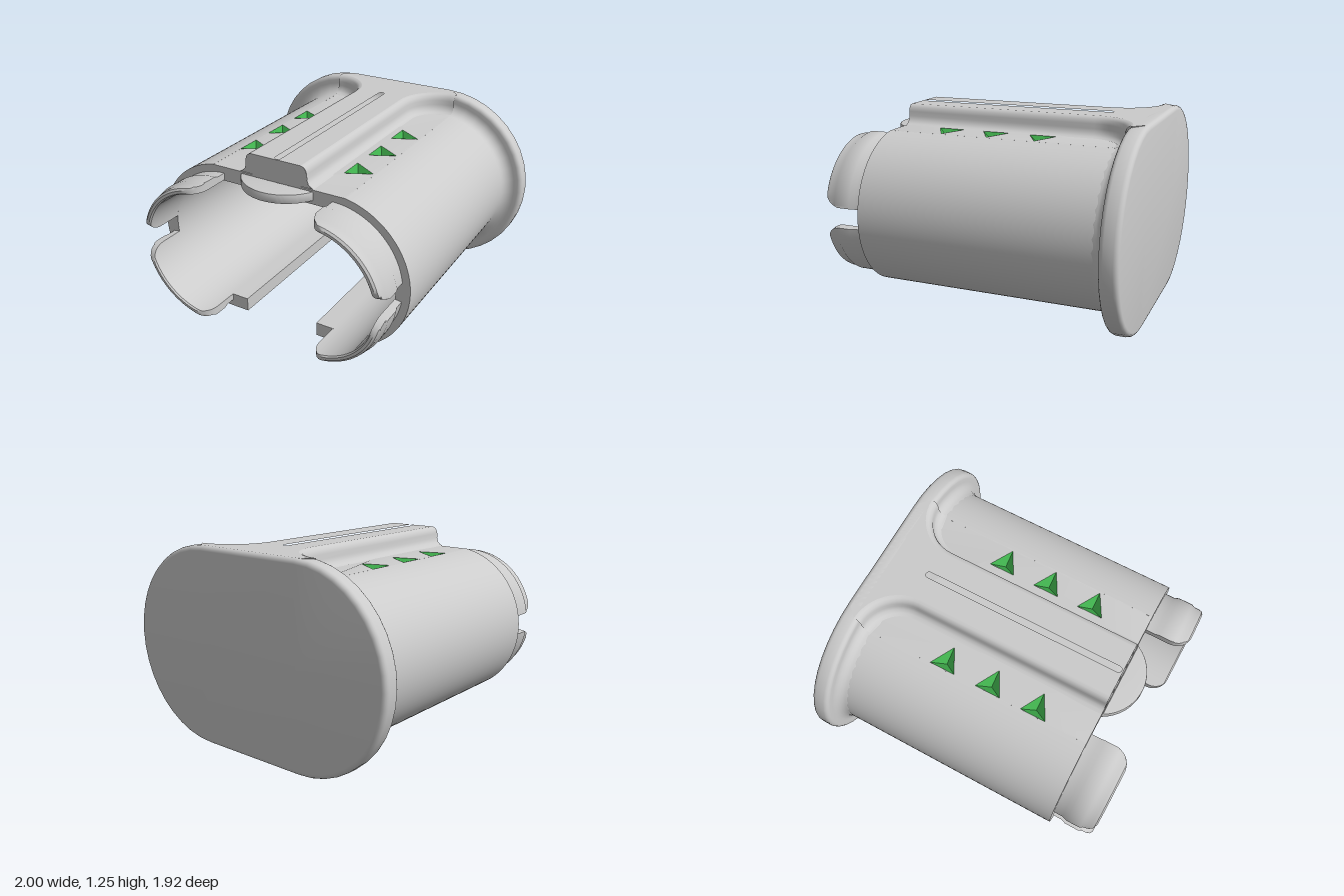
import * as THREE from 'three';
import { toCreasedNormals } from 'three/addons/utils/BufferGeometryUtils.js';

const CX = 0.375, CY = 0.625;            // arc centres of the rounded oval
const R_BODY = 0.5, R_IN = 0.41;         // outer and inner wall radius
const Z_FRONT = 0.69, Z_FLOOR = -0.845;

const grey = new THREE.MeshStandardMaterial({ color: 0xcccccc });
const green = new THREE.MeshStandardMaterial({ color: 0x3fae4c, side: THREE.DoubleSide });

// Skin a list of cross-sections; optional closed loop and end caps
function loft(rings, closed = false, caps = false) {
  const n = rings[0].length, m = rings.length, idx = [];
  for (let i = 0; i < m - 1; i++)
    for (let j = 0; j < (closed ? n : n - 1); j++) {
      const k = (j + 1) % n, a = i * n + j, b = a + n, c = (i + 1) * n + k, d = i * n + k;
      idx.push(a, b, d, b, c, d);
    }
  if (caps)
    for (let j = 1; j < n - 1; j++) {
      const e = (m - 1) * n;
      idx.push(0, j, j + 1, e, e + j + 1, e + j);
    }
  const g = new THREE.BufferGeometry();
  g.setAttribute('position', new THREE.Float32BufferAttribute(rings.flat(2), 3));
  g.setIndex(idx);
  return g;
}

// Mirrored copy across x = 0 or the mid-height, keeping faces outward
function mirror(geo, axis) {
  const g = geo.index ? geo.toNonIndexed() : geo.clone();
  const p = g.attributes.position, v = [new THREE.Vector3(), new THREE.Vector3(), new THREE.Vector3()];
  for (let i = 0; i < p.count; i += 3) {
    v.forEach((q, k) => {
      q.fromBufferAttribute(p, i + k);
      if (axis === 'x') q.x = -q.x; else q.y = 2 * CY - q.y;
    });
    [0, 2, 1].forEach((s, k) => p.setXYZ(i + k, v[s].x, v[s].y, v[s].z));
  }
  return g;
}

// Horizontal slab from an (x, z) outline, extruded downward from yTop
const slab = (shape, yTop, depth) =>
  new THREE.ExtrudeGeometry(shape, { depth, bevelEnabled: false, curveSegments: 10 })
    .rotateX(Math.PI / 2).translate(0, yTop, 0);

const poly = pts => new THREE.Shape(pts.map(p => new THREE.Vector2(p[0], p[1])));

// Oval outline of radius r at depth z
function oval(r, z, seg = 20) {
  const pts = [];
  for (const side of [0, 1])
    for (let i = 0; i <= seg; i++) {
      const a = -Math.PI / 2 + Math.PI * (side + i / seg);
      pts.push([(side ? -CX : CX) + r * Math.cos(a), CY + r * Math.sin(a), z]);
    }
  return pts;
}

// How far the outer wall falls away beyond the flat top
const drop = x => {
  const d = Math.max(0, Math.abs(x) - CX);
  return R_BODY - Math.sqrt(R_BODY * R_BODY - d * d);
};

function slotHole() {
  const h = new THREE.Path(), w = 0.02;
  h.moveTo(-w, -0.62);
  h.lineTo(-w, 0.66);
  h.absarc(0, 0.66, w, Math.PI, 0, true);
  h.lineTo(w, -0.62);
  h.absarc(0, -0.62, w, 0, -Math.PI, true);
  return h;
}

export function createModel() {
  const group = new THREE.Group();
  const add = (name, geo, mat = grey) => {
    const m = new THREE.Mesh(toCreasedNormals(geo, 0.6), mat);
    m.name = name;
    group.add(m);
  };

  // Flange with rounded rim and a concave fillet into the body
  const profile = [[0.495, -0.76]];
  for (let i = 0; i <= 6; i++) {
    const a = (i / 6) * Math.PI / 2;
    profile.push([0.57 - 0.07 * Math.cos(a), -0.775 - 0.07 * Math.sin(a)]);
  }
  for (const [cz, a0] of [[-0.875, 0], [-0.93, 1]])
    for (let i = 0; i <= 4; i++) {
      const a = (a0 + i / 4) * Math.PI / 2;
      profile.push([0.595 + 0.03 * Math.sin(a), cz + 0.03 * Math.cos(a)]);
    }
  profile.push([0, -0.96]);
  add('flange', loft(profile.map(([r, z]) => oval(r, z)), true));

  // Inner floor with two round bosses
  add('floor', new THREE.ShapeGeometry(poly(oval(0.45, 0))).translate(0, 0, Z_FLOOR));
  const bossProfile = [[0.185, 0], [0.175, 0.006], [0.17, 0.02], [0.168, 0.15], [0.16, 0.175],
    [0.147, 0.192], [0.13, 0.2], [0, 0.2]].map(p => new THREE.Vector2(...p));
  for (const s of [-1, 1])
    add('boss', new THREE.LatheGeometry(bossProfile, 32).rotateX(Math.PI / 2).translate(s * CX, CY, Z_FLOOR));

  // Curved side walls, open along the bottom
  const t0 = Math.acos(0.15), wall = new THREE.Shape();
  wall.absarc(CX, CY, R_BODY, t0, -Math.PI / 2, true);
  wall.lineTo(0.26, CY - R_BODY);
  wall.lineTo(0.26, CY - R_IN);
  wall.absarc(CX, CY, R_IN, -Math.PI / 2, t0, false);
  const wallGeo = new THREE.ExtrudeGeometry(wall,
    { depth: Z_FRONT + 0.86, bevelEnabled: false, curveSegments: 24 }).translate(0, 0, -0.86);
  add('sideWall', wallGeo);
  add('sideWall', mirror(wallGeo, 'x'));

  // Bottom web closing the opening near the flange
  const web = poly([[-0.26, -0.86], [0.26, -0.86], [0.26, -0.6]]);
  web.quadraticCurveTo(0.26, -0.7, 0.16, -0.7);
  web.lineTo(-0.16, -0.7);
  web.quadraticCurveTo(-0.26, -0.7, -0.26, -0.6);
  add('bottomWeb', slab(web, CY - R_IN, R_BODY - R_IN));

  // Top deck in two layers: the upper one has the arrow recesses
  const arrows = [];
  for (const x of [-0.45, 0.295])
    for (const z of [-0.28, 0.03, 0.335])
      arrows.push([[x, z - 0.083], [x, z + 0.083], [x + 0.148, z]]);
  const top = CY + R_BODY, outline = [[-0.455, -0.86], [0.455, -0.86], [0.455, Z_FRONT], [-0.455, Z_FRONT]];
  const upper = poly(outline), lower = poly(outline);
  upper.holes.push(slotHole(), ...arrows.map(a => new THREE.Path(poly(a).getPoints())));
  lower.holes.push(slotHole());
  for (const geo of [slab(upper, top, 0.06), slab(lower, top - 0.06, 0.03)]) {
    const p = geo.attributes.position;
    for (let i = 0; i < p.count; i++) p.setY(i, p.getY(i) - drop(p.getX(i)));
    add('topDeck', geo);
  }

  // Green arrow recesses: inverted three-sided pyramids
  for (const a of arrows) {
    const c = a.map(([x, z]) => [x, top - drop(x) + 0.001, z]);
    const apex = [a[0][0] + 0.05, top - 0.052, a[2][1]];
    const g = new THREE.BufferGeometry();
    g.setAttribute('position', new THREE.Float32BufferAttribute(
      [0, 1, 2].flatMap(i => [...c[i], ...c[(i + 1) % 3], ...apex]), 3));
    add('arrowRecess', g, green);
  }

  // Raised rib that flares into the flange
  const path = [[0.2, Z_FRONT, 1, 0]];
  for (let i = 0; i <= 12; i++) {
    const t = (i / 12) * Math.PI / 2;
    path.push([0.46 - 0.26 * Math.cos(t), -0.58 - 0.26 * Math.sin(t), Math.cos(t), Math.sin(t)]);
  }
  const ribProfile = [[0.055, 1.123], [0.035, 1.13], [0.018, 1.147], [0.01, 1.175], [0.01, 1.205],
    [0.002, 1.23], [-0.012, 1.245], [-0.03, 1.25]];
  const ribSide = loft(path.map(([x, z, nx, nz]) => ribProfile.map(([o, y]) => [x + o * nx, y, z + o * nz])));
  add('ribSide', ribSide);
  add('ribSide', mirror(ribSide, 'x'));
  const edge = path.map(([x, z, nx, nz]) => [x - 0.03 * nx, z - 0.03 * nz]).concat([[0.4, -0.93]]);
  const core = poly([...edge, ...edge.map(([x, z]) => [-x, z]).reverse()]);
  core.holes.push(slotHole());
  add('ribTop', slab(core, 1.25, 0.14));
  const end = ribProfile.map(([o, y]) => [0.2 + o, y]);
  add('ribEnd', new THREE.ShapeGeometry(poly([...end, ...end.map(([x, y]) => [-x, y]).reverse()]))
    .translate(0, 0, Z_FRONT + 0.001));

  // Rounded tongue at the front of the top
  const tongue = new THREE.Shape(), ta = Math.asin(0.133 / 0.283);
  tongue.absarc(0, 0.557, 0.283, ta, Math.PI - ta, false);
  add('tongue', new THREE.ExtrudeGeometry(tongue, { depth: 0.04, bevelSize: 0.008, bevelOffset: -0.008,
    bevelThickness: 0.01, bevelSegments: 2, curveSegments: 24 }).rotateX(Math.PI / 2).translate(0, 1.1, 0));

  // Four snap clips around the front opening, with rounded front corners
  const clipProfile = [[0.41, 0.67], [0.41, 0.95], [0.418, 0.96], [0.435, 0.96], [0.448, 0.95], [0.453, 0.93],
    [0.455, 0.89], [0.464, 0.875], [0.464, 0.78], [0.453, 0.75], [0.453, 0.67]];
  const R = 0.11, a0 = Math.PI / 2, a1 = 0.14, rings = [];
  for (let i = 0; i <= 32; i++) {
    const a = a0 + (a1 - a0) * (1 - Math.cos(Math.PI * i / 32)) / 2;
    const d = Math.min(R, 0.46 * Math.min(a0 - a, a - a1));
    const zMax = 0.96 - R + Math.sqrt(Math.max(0, R * R - (R - d) * (R - d)));
    rings.push(clipProfile.map(([r, z]) => [CX + r * Math.cos(a), CY + r * Math.sin(a), Math.min(z, zMax)]));
  }
  const clip = loft(rings, true, true), clipLow = mirror(clip, 'y');
  for (const g of [clip, clipLow, mirror(clip, 'x'), mirror(clipLow, 'x')]) add('snapClip', g);

  return group;
}
